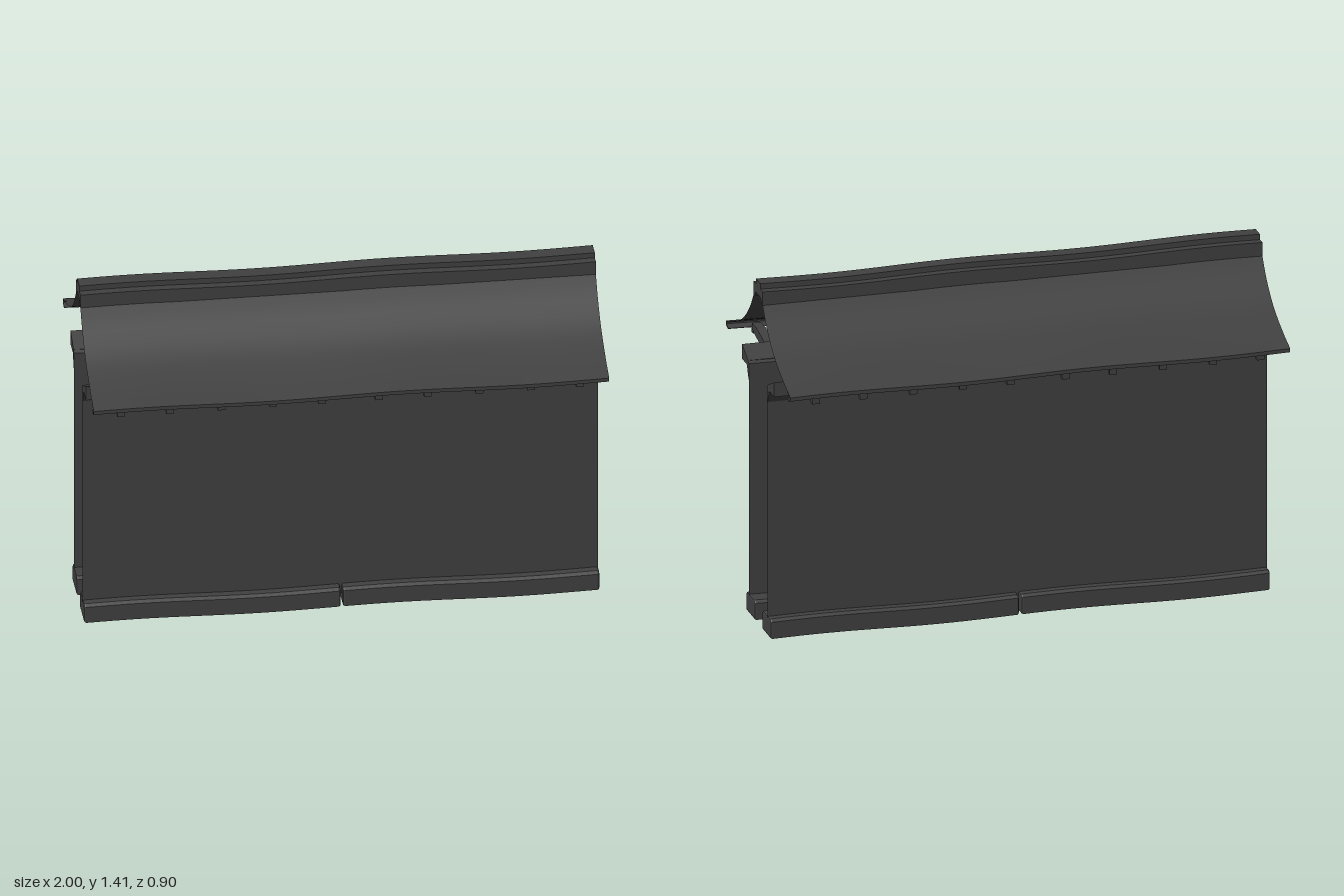
import * as THREE from 'three';

const material = new THREE.MeshStandardMaterial({ color: 0x404040, side: THREE.DoubleSide });
const wave = (x, amount) => amount * Math.cos((x - 0.2) * Math.PI * 2);

// Gently bend a geometry up and down along its length
function undulate(geometry, amount) {
  const p = geometry.attributes.position;
  for (let i = 0; i < p.count; i++) p.setY(i, p.getY(i) + wave(p.getX(i), amount));
  geometry.computeVertexNormals();
  return geometry;
}

// Extrude a [z, y] profile along x from x0 to x1
function prism(name, profile, x0, x1, { steps = 1, bend = 0, bevel = 0 } = {}) {
  const shape = new THREE.Shape(profile.map(([z, y]) => new THREE.Vector2(-z, y)));
  const geometry = new THREE.ExtrudeGeometry(shape, {
    depth: x1 - x0 - 2 * bevel, steps,
    bevelEnabled: bevel > 0, bevelSize: bevel, bevelThickness: bevel, bevelOffset: -bevel, bevelSegments: 2,
  });
  geometry.rotateY(Math.PI / 2).translate(x0 + bevel, 0, 0);
  if (bend) undulate(geometry, bend);
  const mesh = new THREE.Mesh(geometry, material);
  mesh.name = name;
  return mesh;
}

// Concave roof sheet, rippling only towards the eave
function roofSlope() {
  const curve = new THREE.SplineCurve([
    [0.055, 1.345], [0.12, 1.26], [0.22, 1.18], [0.35, 1.122], [0.45, 1.09],
  ].map(([z, y]) => new THREE.Vector2(z, y)));
  const geometry = new THREE.PlaneGeometry(2, 1, 40, 16);
  const p = geometry.attributes.position;
  for (let i = 0; i < p.count; i++) {
    const t = 0.5 - p.getY(i);
    const c = curve.getPoint(t);
    p.setXYZ(i, p.getX(i), c.y + wave(p.getX(i), 0.004 * t * t), c.x);
  }
  geometry.computeVertexNormals();
  const mesh = new THREE.Mesh(geometry, material);
  mesh.name = 'roofSlope';
  return mesh;
}

// One face of the wall with its footing, eave and roof slope
function wallSide(name) {
  const side = new THREE.Group();
  side.name = name;

  const panel = new THREE.Mesh(new THREE.PlaneGeometry(2, 0.98), material);
  panel.name = 'wallPanel';
  panel.position.set(0, 0.53, 0.13);
  side.add(panel);

  // Two long footing stones
  const stone = [[0.05, 0.004], [0.172, 0.004], [0.172, 0.072], [0.16, 0.082], [0.062, 0.082], [0.05, 0.072]];
  for (const [x0, x1] of [[-1, -0.004], [0.004, 1]]) {
    side.add(prism('footingStone', stone, x0, x1, { steps: 24, bend: 0.004, bevel: 0.008 }));
  }

  // Beam and slanted skirting at the wall head
  side.add(prism('wallBeam', [[0.14, 1.015], [0.223, 1.015], [0.223, 1.075], [0.14, 1.037]], -1, 1));
  side.add(prism('beamSkirt', [[0.126, 0.961], [0.132, 0.961], [0.158, 1.016], [0.158, 1.045], [0.126, 1.028]],
    -1, 1, { steps: 32, bend: 0.003 }));

  // Rafters with a small peg below each tip
  const rafter = [[0.2, 1.04], [0.23, 1.034], [0.29, 1.04], [0.36, 1.052], [0.405, 1.066],
    [0.405, 1.088], [0.34, 1.089], [0.29, 1.08], [0.2, 1.064]];
  const peg = [[0.4, 1.046], [0.424, 1.046], [0.424, 1.07], [0.4, 1.075]];
  for (const distance of [0.11, 0.3, 0.5, 0.7, 0.89]) {
    for (const x of [-distance, distance]) {
      side.add(prism('rafter', rafter, x - 0.018, x + 0.018));
      side.add(prism('rafterPeg', peg, x - 0.015, x + 0.015));
    }
  }

  side.add(roofSlope());

  // Curled lip under the eave
  const lip = [[0.4, 1.105], [0.45, 1.09], [0.45, 1.075], [0.42, 1.066], [0.405, 1.073],
    [0.42, 1.073], [0.443, 1.079], [0.443, 1.087], [0.4, 1.1]];
  side.add(prism('eaveLip', lip, -1, 1, { steps: 40, bend: 0.004 }));
  return side;
}

export function createModel() {
  const model = new THREE.Group();
  model.name = 'roofedWall';

  const front = wallSide('frontSide');
  const back = wallSide('backSide');
  back.rotation.y = Math.PI;
  model.add(front, back);

  // Ridge cap, hollowed below
  const half = [[0.03, 1.41], [0.03, 1.388], [0.063, 1.388], [0.063, 1.332], [0.052, 1.332], [0.032, 1.354]];
  const cap = [...half, ...half.map(([z, y]) => [-z, y]).reverse()];
  model.add(prism('ridgeCap', cap, -1, 1, { steps: 40, bend: 0.004 }));
  return model;
}
